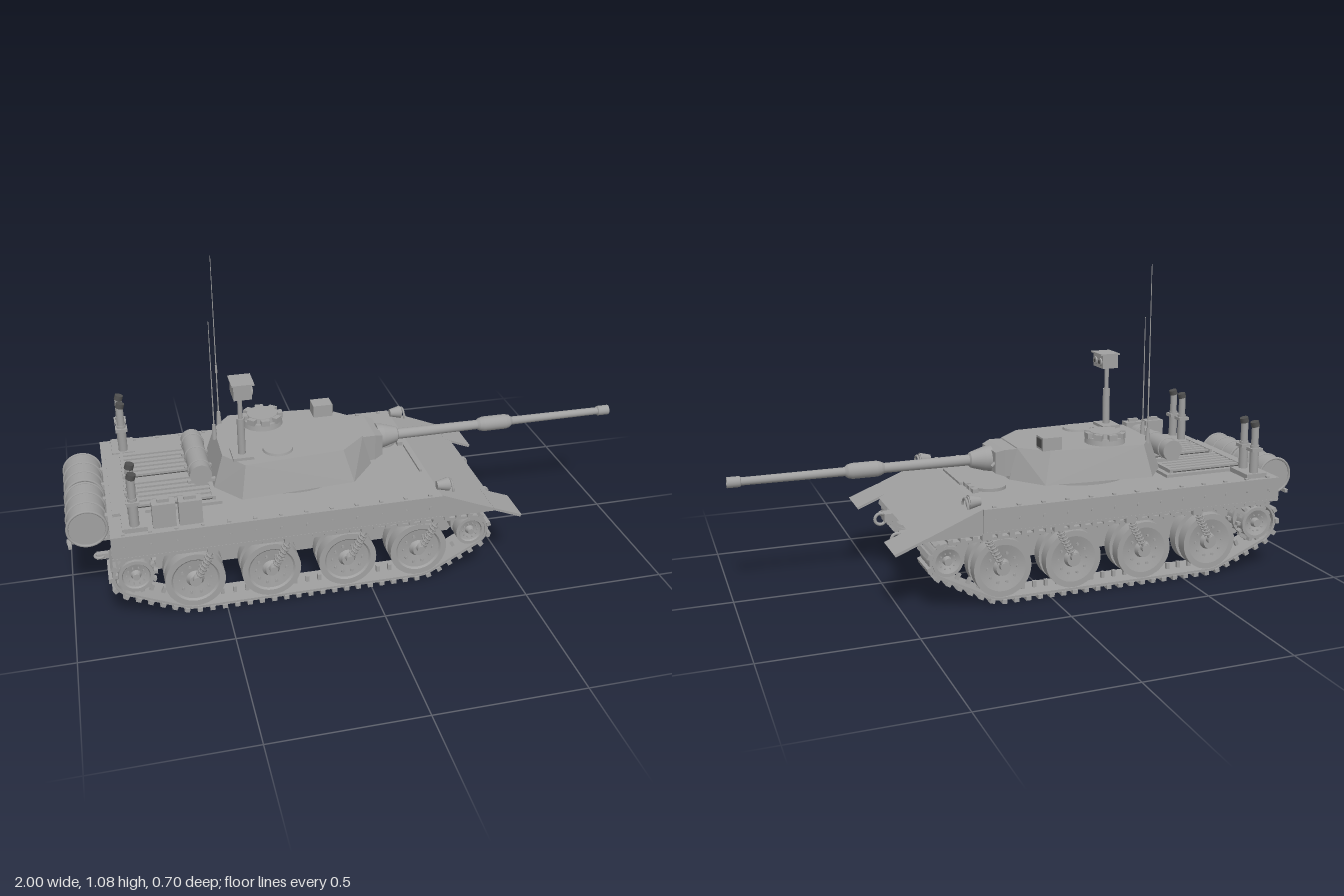
import * as THREE from 'three';
import { mergeGeometries } from 'three/addons/utils/BufferGeometryUtils.js';
import { ConvexGeometry } from 'three/addons/geometries/ConvexGeometry.js';

const V = (x, y, z) => new THREE.Vector3(x, y, z);

export function createModel() {
  const model = new THREE.Group();
  const grey = new THREE.MeshStandardMaterial({ color: 0xa0a0a0 });
  grey.name = 'armour grey';
  const dark = new THREE.MeshStandardMaterial({ color: 0x505050 });
  dark.name = 'dark grey';

  const add = (name, geo, mat = grey, parent = model) => {
    const m = new THREE.Mesh(geo, mat);
    m.name = name;
    parent.add(m);
    return m;
  };
  const boxGeo = (sx, sy, sz, x, y, z) => new THREE.BoxGeometry(sx, sy, sz).translate(x, y, z);
  const box = (name, sx, sy, sz, x, y, z, mat) => add(name, boxGeo(sx, sy, sz, x, y, z), mat);
  // Cylinder or cone between two points
  const rodGeo = (a, b, r, r2 = r, n = 16) => {
    const d = b.clone().sub(a);
    const q = new THREE.Quaternion().setFromUnitVectors(V(0, 1, 0), d.clone().normalize());
    const mid = a.clone().add(b).multiplyScalar(0.5);
    return new THREE.CylinderGeometry(r2, r, d.length(), n).applyQuaternion(q).translate(mid.x, mid.y, mid.z);
  };
  const rod = (name, a, b, r, r2, n, mat) => add(name, rodGeo(a, b, r, r2, n), mat);
  // Side profile in x, y extruded across z
  const slab = (pts, z0, z1) => new THREE.ExtrudeGeometry(
    new THREE.Shape(pts.map(p => new THREE.Vector2(...p))), { depth: z1 - z0, bevelEnabled: false }).translate(0, 0, z0);

  // Hull
  add('upperHull', slab([[-0.86, 0.25], [0.455, 0.247], [0.24, 0.335], [-0.86, 0.335]], -0.335, 0.335));
  add('lowerHull', slab([[-0.78, 0.11], [0.31, 0.11], [0.45, 0.248], [-0.86, 0.252], [-0.86, 0.19]], -0.205, 0.205));
  box('engineDeck', 0.36, 0.012, 0.42, -0.665, 0.34, 0);
  const ring = add('turretRing', new THREE.CylinderGeometry(0.2, 0.2, 0.02, 40));
  ring.position.set(-0.22, 0.342, 0);
  add('driverHatch', new THREE.CylinderGeometry(0.06, 0.06, 0.012, 28).translate(0.14, 0.34, -0.1));
  for (const z of [-0.14, -0.1, -0.06]) box('driverPeriscope', 0.02, 0.015, 0.026, 0.205, 0.341, z);
  box('splashRail', 0.01, 0.01, 0.2, 0.22, 0.338, 0.06);

  // Engine grilles
  for (const s of [-1, 1]) {
    box('grilleBed', 0.28, 0.004, 0.17, -0.65, 0.347, s * 0.105, dark);
    for (let i = 0; i < 6; i++) box('grilleSlat', 0.28, 0.01, 0.018, -0.65, 0.352, s * (0.03 + i * 0.03));
    for (const x of [-0.79, -0.51]) box('grilleFrame', 0.012, 0.014, 0.18, x, 0.352, s * 0.105);
  }

  // Parts mirrored on both sides of the hull
  for (const s of [-1, 1]) {
    box('sidePlate', 1.1, 0.08, 0.008, -0.31, 0.295, s * 0.338);
    box('sideLip', 1.1, 0.008, 0.014, -0.31, 0.254, s * 0.336);
    const bolts = [];
    for (let i = 0; i < 13; i++) {
      bolts.push(rodGeo(V(-0.82 + i * 0.085, 0.295, s * 0.341), V(-0.82 + i * 0.085, 0.295, s * 0.346), 0.006, 0.006, 6));
      bolts.push(boxGeo(0.012, 0.006, 0.012, -0.82 + i * 0.085, 0.337, s * 0.328));
    }
    add('sideBolts', mergeGeometries(bolts));
    add('frontFender', slab([[0.43, 0.249], [0.53, 0.209], [0.535, 0.217], [0.43, 0.258]], s > 0 ? 0.2 : -0.335, s > 0 ? 0.335 : -0.2));
    // Headlights with guards
    rod('headlight', V(0.235, 0.35, s * 0.29), V(0.275, 0.35, s * 0.29), 0.014, 0.024);
    rod('headlightGlass', V(0.275, 0.35, s * 0.29), V(0.279, 0.35, s * 0.29), 0.02);
    add('headlightGuard', new THREE.TorusGeometry(0.029, 0.004, 6, 20, Math.PI).rotateY(Math.PI / 2).translate(0.285, 0.335, s * 0.29));
    // Tow rings on the nose
    box('towBracket', 0.05, 0.03, 0.045, 0.435, 0.2, s * 0.117);
    add('towRing', new THREE.TorusGeometry(0.02, 0.006, 8, 18).translate(0.47, 0.193, s * 0.117));
    // Rear exhaust stacks
    box('exhaustBase', 0.08, 0.016, 0.115, -0.78, 0.343, s * 0.265);
    for (const z of [0.23, 0.3]) {
      rod('exhaustPipe', V(-0.78, 0.34, s * z), V(-0.78, 0.45, s * z), 0.016);
      rod('exhaustUpper', V(-0.78, 0.45, s * z), V(-0.78, 0.52, s * z), 0.013);
      rod('exhaustCap', V(-0.78, 0.518, s * z), V(-0.775, 0.535, s * z), 0.015, 0.015, 16, dark);
      box('exhaustFlange', 0.042, 0.012, 0.04, -0.78, 0.435, s * z);
    }
    // Rear fuel drums, lying across the stern
    const z0 = s * 0.01, z1 = s * 0.205;
    rod('fuelDrum', V(-0.93, 0.3, z0), V(-0.93, 0.3, z1), 0.064, 0.064, 32);
    for (const t of [0.0, 0.33, 0.67, 1])
      add('drumHoop', new THREE.TorusGeometry(0.064, 0.005, 6, 32).translate(-0.93, 0.3, z0 + (z1 - z0) * t));
    for (const z of [0.05, 0.16]) {
      box('drumRack', 0.15, 0.01, 0.02, -0.925, 0.232, s * z);
      box('rackStrut', 0.015, 0.09, 0.02, -0.862, 0.275, s * z);
    }
    box('rearTowHook', 0.06, 0.02, 0.02, -0.88, 0.14, s * 0.12);
    add('rearTowRing', new THREE.TorusGeometry(0.016, 0.005, 6, 16).rotateX(Math.PI / 2).translate(-0.9, 0.14, s * 0.12));
  }
  box('rackBar', 0.012, 0.012, 0.4, -0.99, 0.233, 0);
  for (const x of [-0.685, -0.6]) {
    box('stowageCan', 0.075, 0.085, 0.042, x, 0.38, 0.298);
    box('canHandle', 0.04, 0.012, 0.014, x, 0.428, 0.298);
  }

  // Turret shell between two eight-sided outlines
  const half = (pts, y) => pts.flatMap(([x, z]) => [V(x, y, z), V(x, y, -z)]);
  add('turretShell', new ConvexGeometry([
    ...half([[-0.5, 0.12], [-0.42, 0.226], [-0.03, 0.2], [0.06, 0.085]], 0.35),
    ...half([[-0.465, 0.105], [-0.4, 0.194], [-0.06, 0.168], [0.03, 0.08]], 0.46)]));
  add('mantlet', new ConvexGeometry([
    ...half([[0.02, 0.083], [0.075, 0.083]], 0.362), ...half([[0.02, 0.083], [0.075, 0.083]], 0.456),
    ...half([[0.105, 0.07]], 0.372), ...half([[0.105, 0.07]], 0.446)]));
  rod('gunPort', V(0.1, 0.409, -0.058), V(0.115, 0.395, -0.058), 0.006);

  // Gun turned from one profile
  const gun = [[0, 0.1], [0.046, 0.1], [0.042, 0.125], [0.027, 0.175], [0.019, 0.18], [0.017, 0.48], [0.023, 0.49], [0.027, 0.505],
    [0.027, 0.59], [0.023, 0.605], [0.015, 0.615], [0.0135, 0.955], [0.018, 0.958], [0.018, 1], [0.009, 1], [0.009, 0.96], [0, 0.96]];
  const gunParts = [];
  for (let i = 0; i < gun.length - 1; i++)
    gunParts.push(new THREE.LatheGeometry([gun[i], gun[i + 1]].map(p => new THREE.Vector2(...p)), 24));
  add('gunBarrel', mergeGeometries(gunParts).rotateZ(-Math.PI / 2).translate(0, 0.41, 0));

  // Turret roof
  rod('cupola', V(-0.29, 0.46, -0.107), V(-0.29, 0.482, -0.107), 0.072, 0.068, 28);
  rod('cupolaLid', V(-0.29, 0.48, -0.107), V(-0.29, 0.5, -0.107), 0.058, 0.054, 28);
  for (let i = 0; i < 8; i++) {
    const p = boxGeo(0.02, 0.02, 0.03, 0.062, 0, 0).rotateY(i * Math.PI / 4).translate(-0.29, 0.488, -0.107);
    add('cupolaPeriscope', p);
  }
  rod('loaderHatch', V(-0.275, 0.46, 0.107), V(-0.275, 0.468, 0.107), 0.052, 0.05, 28);
  box('sightHousing', 0.07, 0.045, 0.06, -0.07, 0.482, -0.13);
  box('sightWindow', 0.006, 0.03, 0.045, -0.034, 0.484, -0.13, dark);
  box('mastFoot', 0.07, 0.012, 0.09, -0.4, 0.464, 0.115);

  // Rolled stowage behind the turret
  rod('stowageRoll', V(-0.543, 0.412, -0.14), V(-0.543, 0.412, 0.14), 0.037, 0.037, 24);
  for (const z of [-0.1, 0, 0.1]) {
    add('rollStrap', new THREE.TorusGeometry(0.037, 0.004, 6, 24).translate(-0.543, 0.412, z));
    box('rollBracket', 0.11, 0.01, 0.015, -0.53, 0.372, z);
  }

  // Sensor mast
  rod('mastLower', V(-0.4, 0.46, 0.122), V(-0.4, 0.6, 0.122), 0.013);
  rod('mastUpper', V(-0.4, 0.6, 0.122), V(-0.4, 0.685, 0.122), 0.008);
  box('sensorHead', 0.06, 0.05, 0.084, -0.395, 0.708, 0.122);
  box('sensorRoof', 0.075, 0.005, 0.092, -0.393, 0.735, 0.122);
  for (const z of [0.101, 0.143]) {
    rod('sensorLens', V(-0.367, 0.706, z), V(-0.36, 0.706, z), 0.015);
    rod('lensGlass', V(-0.36, 0.706, z), V(-0.358, 0.706, z), 0.007, 0.007, 12, dark);
  }

  // Whip aerials
  for (const [x, z, top] of [[-0.47, -0.043, 0.885], [-0.44, -0.142, 1.08]]) {
    rod('aerialBase', V(x, 0.45, z), V(x, 0.505, z), 0.01, 0.006, 12);
    rod('aerial', V(x, 0.5, z), V(x, top, z), 0.0025, 0.0012, 6);
  }
  rod('aerialCoil', V(-0.44, 0.655, -0.142), V(-0.44, 0.682, -0.142), 0.004, 0.004, 8);

  // Running gear: axle x, y and radius, rear to front
  const rear = [-0.79, 0.168, 0.066], front = [0.355, 0.168, 0.052];
  const road = [-0.6, -0.345, -0.083, 0.168].map(x => [x, 0.122, 0.1]);

  // Track path: hull around the wheels
  const loop = grow => {
    const pts = [rear, ...road, front].flatMap(([x, y, r]) => Array.from({ length: 40 }, (_, i) =>
      new THREE.Vector2(x + (r + grow) * Math.cos(i * Math.PI / 20), y + (r + grow) * Math.sin(i * Math.PI / 20))));
    pts.sort((a, b) => a.x - b.x || a.y - b.y);
    const chain = list => list.reduce((h, p) => {
      while (h.length > 1 && h.at(-1).clone().sub(h.at(-2)).cross(p.clone().sub(h.at(-2))) <= 1e-9) h.pop();
      h.push(p);
      return h;
    }, []).slice(0, -1);
    return [...chain(pts), ...chain([...pts].reverse())];
  };
  const belt = new THREE.Shape(loop(0.011));
  belt.holes.push(new THREE.Path(loop(0.001)));
  const beltGeo = new THREE.ExtrudeGeometry(belt, { depth: 0.108, bevelEnabled: false }).translate(0, 0, -0.054);
  const path = new THREE.Shape(loop(0.011));
  path.closePath();
  const links = path.getSpacedPoints(66).slice(0, 66);
  const cleats = [];
  links.forEach((p, i) => {
    const t = links[(i + 1) % 66].clone().sub(links[(i + 65) % 66]);
    const place = g => cleats.push(g.rotateZ(Math.atan2(t.y, t.x)).translate(p.x, p.y, 0));
    place(boxGeo(0.017, 0.014, 0.12, 0, -0.004, 0));
    place(boxGeo(0.012, 0.024, 0.012, 0, 0.02, 0));
  });
  const cleatGeo = mergeGeometries(cleats);

  // Twin-disc wheel, axle along z
  const wheelGeo = r => {
    const prof = [[0, 0.058], [0.2, 0.058], [0.24, 0.048], [0.3, 0.04], [0.74, 0.046], [0.8, 0.052], [1, 0.052], [1, 0.012],
      [0.6, 0.012], [0.6, -0.012], [1, -0.012], [1, -0.052], [0.8, -0.052], [0.3, -0.04], [0.24, -0.058], [0, -0.058]];
    const parts = prof.slice(1).map((p, i) => new THREE.LatheGeometry(
      [p, prof[i]].map(q => new THREE.Vector2(q[0] * r, q[1])), 36).rotateX(Math.PI / 2));
    for (let i = 0; i < 10; i++) {
      const a = i * Math.PI / 5, x = 0.52 * r * Math.cos(a), y = 0.52 * r * Math.sin(a);
      for (const s of [-1, 1]) parts.push(rodGeo(V(x, y, s * 0.036), V(x, y, s * 0.05), r * 0.05, r * 0.05, 6));
    }
    return mergeGeometries(parts);
  };
  const roadGeo = wheelGeo(0.1), idlerGeo = wheelGeo(front[2]);
  const teeth = [wheelGeo(rear[2] - 0.008)];
  for (let i = 0; i < 14; i++) for (const z of [-0.032, 0.032])
    teeth.push(boxGeo(0.022, 0.012, 0.018, rear[2] - 0.006, 0, z).rotateZ(i * Math.PI / 7));
  const sprocketGeo = mergeGeometries(teeth);

  // Coil spring on its damper rod
  const coil = Array.from({ length: 57 }, (_, i) => {
    const a = i * Math.PI / 4;
    return V(0.011 * Math.cos(a), (i / 56 - 0.5) * 0.09, 0.011 * Math.sin(a));
  });
  const springGeo = mergeGeometries([
    new THREE.TubeGeometry(new THREE.CatmullRomCurve3(coil), 112, 0.0035, 5),
    rodGeo(V(0, -0.06, 0), V(0, 0.055, 0), 0.006, 0.006, 8)]);

  for (const s of [-1, 1]) {
    const side = new THREE.Group();
    side.name = s > 0 ? 'leftRunningGear' : 'rightRunningGear';
    model.add(side);
    const put = (name, geo, x, y, z) => add(name, geo, grey, side).position.set(x, y, s * z);
    put('trackBelt', beltGeo, 0, 0, 0.268);
    put('trackCleats', cleatGeo, 0, 0, 0.268);
    put('driveSprocket', sprocketGeo, rear[0], rear[1], 0.268);
    put('idlerWheel', idlerGeo, front[0], front[1], 0.268);
    for (const [x, y] of [rear, ...road, front])
      add('axle', rodGeo(V(x, y, s * 0.19), V(x, y, s * 0.3), 0.018), grey, side);
    for (const [x, y] of road) {
      put('roadWheel', roadGeo, x, y, 0.268);
      put('suspensionSpring', springGeo, x + 0.033, 0.188, 0.334);
      side.children.at(-1).rotation.z = -0.5;
      add('springPivot', rodGeo(V(x + 0.003, 0.133, s * 0.315), V(x + 0.003, 0.133, s * 0.343), 0.013), grey, side);
      put('springMount', new THREE.BoxGeometry(0.035, 0.022, 0.025), x + 0.06, 0.243, 0.328);
    }
  }
  return model;
}
